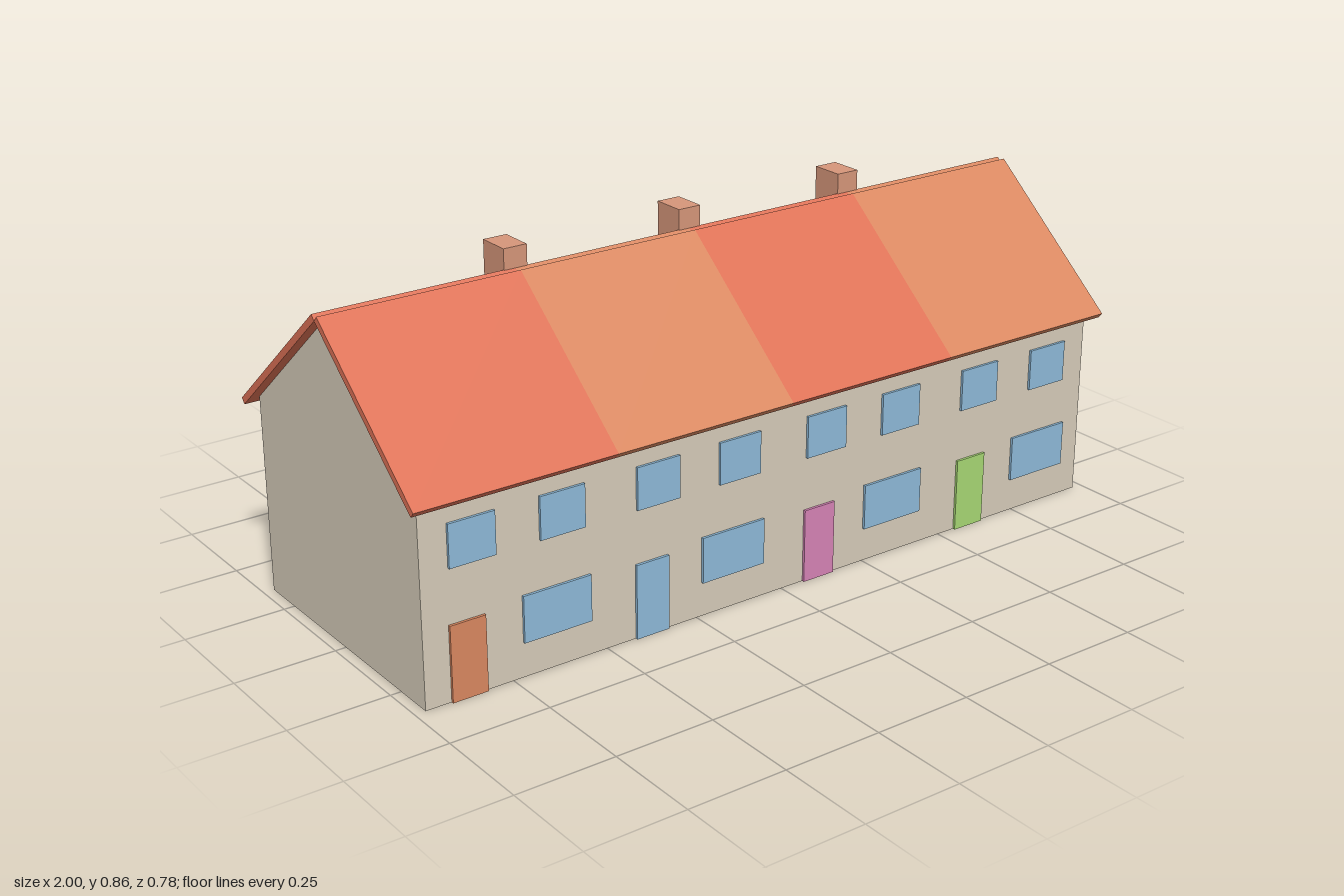
import * as THREE from 'three';

const flat = (name, color) => {
  const m = new THREE.MeshStandardMaterial({ color });
  m.name = name;
  return m;
};

export function createModel() {
  const wall = flat('wall render', 0xd6ccba);
  const glass = flat('window blue', 0x8ebad9);
  const redTile = flat('red tile', 0xde7256);
  const orangeTile = flat('orange tile', 0xda8861);
  const brick = flat('chimney brick', 0xd6967a);
  const pink = flat('pink door', 0xd683b6);
  const green = flat('green door', 0xa7d774);

  const group = new THREE.Group();
  group.name = 'terraceHouses';

  const add = (name, geometry, material) => {
    const mesh = new THREE.Mesh(geometry, material);
    mesh.name = name;
    group.add(mesh);
    return mesh;
  };

  // Box given by its lower and upper bounds
  const box = (name, material, [x0, y0, z0], [x1, y1, z1]) =>
    add(name, new THREE.BoxGeometry(x1 - x0, y1 - y0, z1 - z0), material)
      .position.set((x0 + x1) / 2, (y0 + y1) / 2, (z0 + z1) / 2);

  // Profile of [z, y] points extruded along x from x0 to x1
  const prism = (name, material, points, x0, x1) => {
    const shape = new THREE.Shape(points.map(([z, y]) => new THREE.Vector2(-z, y)));
    const geometry = new THREE.ExtrudeGeometry(shape, { depth: x1 - x0, bevelEnabled: false });
    geometry.rotateY(Math.PI / 2).translate(x0, 0, 0);
    add(name, geometry, material);
  };

  const halfLength = 0.973, halfDepth = 0.355, house = halfLength / 2;
  const ridge = 0.792, eave = 0.496;

  // Gabled body
  prism('body', wall, [
    [halfDepth, 0], [-halfDepth, 0], [-halfDepth, eave], [0, ridge], [halfDepth, eave],
  ], -halfLength, halfLength);

  // Roof slabs, one pair for each house, open in a small notch at the ridge
  const seams = [-1, -house, 0, house, 1];
  for (let i = 0; i < 4; i++) {
    for (const side of [1, -1]) {
      const profile = [[0, ridge], [0.38, 0.475], [0.391, 0.488], [0.011, 0.805]];
      prism(side > 0 ? 'frontRoof' : 'backRoof', i % 2 ? orangeTile : redTile,
        profile.map(([z, y]) => [z * side, y]), seams[i], seams[i + 1]);
    }
  }

  // Chimneys on the seams between houses, just behind the ridge
  for (const x of [-house, 0, house]) {
    box('chimney', brick, [x - 0.031, 0.68, -0.096], [x + 0.031, 0.855, -0.01]);
  }

  // Doors and windows as thin plates on the front wall
  const plate = (name, material, x, width, y0, y1) =>
    box(name, material, [x - width / 2, y0, halfDepth], [x + width / 2, y1, halfDepth + 0.0065]);
  [orangeTile, glass, pink, green].forEach((doorColour, i) => {
    const left = -halfLength + i * house;
    plate('door', doorColour, left + 0.11, 0.09, 0, 0.187);
    plate('groundWindow', glass, left + 0.34, 0.178, 0.086, 0.201);
    for (const offset of [0.128, 0.358]) {
      plate('upperWindow', glass, left + offset, 0.117, 0.321, 0.426);
    }
  });

  // Meter box on the left gable
  box('meterBox', wall, [halfLength, 0.063, 0.194], [halfLength + 0.007, 0.116, 0.233]);

  return group;
}
